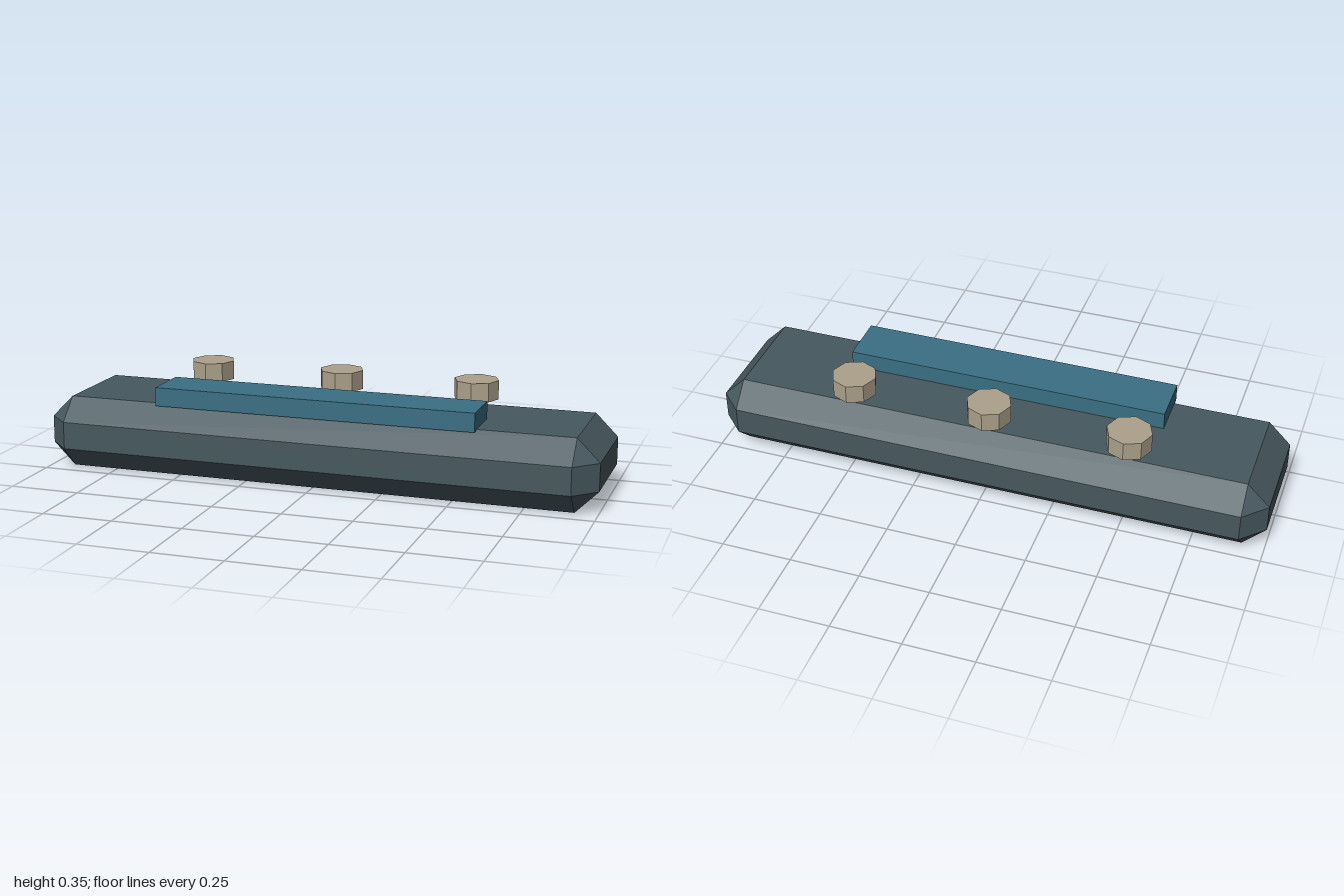
import * as THREE from 'three';
import { ConvexGeometry } from 'three/addons/geometries/ConvexGeometry.js';

// Box with every edge and corner cut at 45 degrees
function chamferedBox(w, h, d, c) {
  const points = [];
  for (const sx of [-1, 1]) for (const sy of [-1, 1]) for (const sz of [-1, 1]) {
    const x = w / 2, y = h / 2, z = d / 2;
    points.push(
      new THREE.Vector3(sx * x, sy * (y - c), sz * (z - c)),
      new THREE.Vector3(sx * (x - c), sy * y, sz * (z - c)),
      new THREE.Vector3(sx * (x - c), sy * (y - c), sz * z)
    );
  }
  return new ConvexGeometry(points);
}

function material(name, color) {
  const m = new THREE.MeshStandardMaterial({ color, flatShading: true });
  m.name = name;
  return m;
}

export function createModel() {
  const model = new THREE.Group();
  model.name = 'console';
  const slate = material('slate', 0x47585f);
  const teal = material('teal', 0x3a6f83);
  const beige = material('beige', 0xaba08a);

  function add(name, geometry, mat, x, y, z) {
    const mesh = new THREE.Mesh(geometry, mat);
    mesh.name = name;
    mesh.position.set(x, y, z);
    model.add(mesh);
  }

  // Long bevelled body
  add('body', chamferedBox(2, 0.258, 0.516, 0.08), slate, 0, 0.129, 0);

  // Raised strip along the front of the top
  add('displayStrip', new THREE.BoxGeometry(1.16, 0.067, 0.179), teal, 0, 0.2865, 0.1145);

  // Row of eight-sided knobs hovering above the back of the top
  const knob = new THREE.CylinderGeometry(0.08, 0.08, 0.068, 8);
  ['rightKnob', 'middleKnob', 'leftKnob'].forEach((name, i) => {
    add(name, knob, beige, (i - 1) * 0.5, 0.321, -0.144);
  });

  return model;
}
